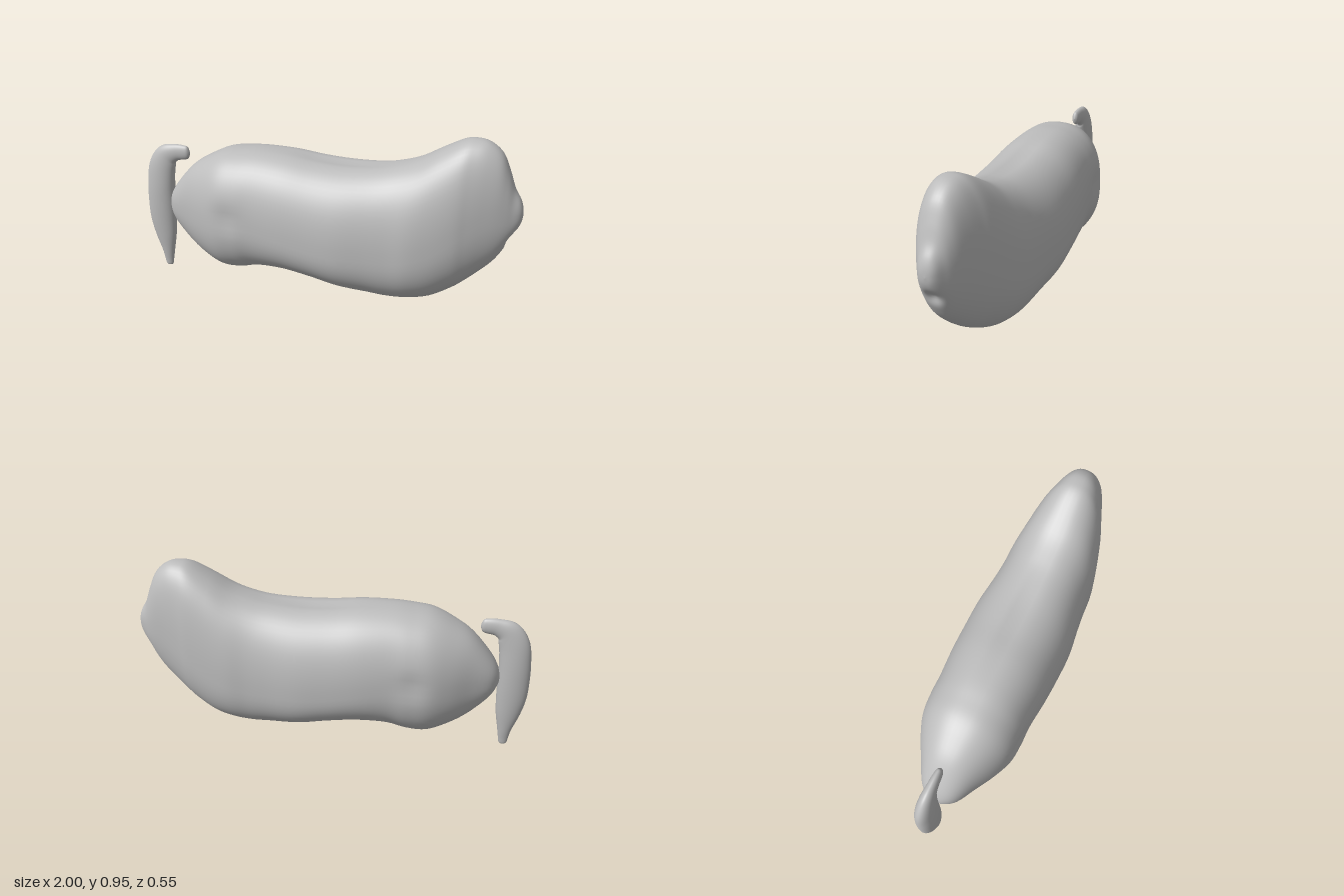
import * as THREE from 'three';

const SIDES = 64;

// Closed skin over rings; ring(i, angle) returns a point, turning about the direction of travel.
function loft(count, ring) {
  const pos = [], index = [];
  for (let i = 0; i < count; i++)
    for (let j = 0; j < SIDES; j++) pos.push(...ring(i, (j / SIDES) * Math.PI * 2));
  for (let i = 0; i < count - 1; i++)
    for (let j = 0; j < SIDES; j++) {
      const k = (j + 1) % SIDES;
      const a = i * SIDES + j, b = a + SIDES, c = (i + 1) * SIDES + k, d = i * SIDES + k;
      index.push(a, d, c, a, c, b);
    }
  const geo = new THREE.BufferGeometry();
  geo.setAttribute('position', new THREE.Float32BufferAttribute(pos, 3));
  geo.setIndex(index);
  geo.computeVertexNormals();
  return geo;
}

// Smoothly interpolates rows of numbers, with steps samples per row.
function smoothRows(rows, steps) {
  const out = [];
  for (let s = 0; s <= (rows.length - 1) * steps; s++) {
    const i = Math.min(Math.floor(s / steps), rows.length - 2), t = s / steps - i;
    const at = (n) => rows[Math.max(0, Math.min(rows.length - 1, n))];
    out.push(rows[0].map((_, c) => {
      const p = at(i - 1)[c], q = at(i)[c], r = at(i + 1)[c], v = at(i + 2)[c];
      const m0 = (r - p) / 2, m1 = (v - q) / 2;
      return ((2 * t - 3) * t * t + 1) * q + ((t - 2) * t + 1) * t * m0
        + (3 - 2 * t) * t * t * r + (t - 1) * t * t * m1;
    }));
  }
  return out;
}

const bump = (d, width) => Math.exp(-((d / width) ** 2));

function bodyGeometry() {
  // x, top, bottom, half width, height of the widest point (0 to 1)
  const rows = smoothRows([
    [-0.85, 0.42, 0.42, 0, 0.5],
    [-0.842, 0.46, 0.375, 0.04, 0.5],
    [-0.8, 0.535, 0.305, 0.095, 0.5],
    [-0.7, 0.65, 0.205, 0.15, 0.5],
    [-0.6, 0.715, 0.148, 0.205, 0.48],
    [-0.5, 0.76, 0.114, 0.245, 0.47],
    [-0.4, 0.775, 0.12, 0.255, 0.46],
    [-0.3, 0.783, 0.147, 0.255, 0.43],
    [-0.15, 0.78, 0.16, 0.268, 0.38],
    [0, 0.765, 0.145, 0.274, 0.36],
    [0.15, 0.76, 0.115, 0.274, 0.37],
    [0.3, 0.77, 0.1, 0.256, 0.38],
    [0.4, 0.79, 0.092, 0.246, 0.38],
    [0.5, 0.825, 0.1, 0.24, 0.38],
    [0.6, 0.885, 0.122, 0.218, 0.38],
    [0.7, 0.94, 0.178, 0.187, 0.4],
    [0.76, 0.951, 0.225, 0.16, 0.42],
    [0.82, 0.94, 0.28, 0.133, 0.45],
    [0.88, 0.893, 0.343, 0.106, 0.48],
    [0.92, 0.81, 0.405, 0.085, 0.48],
    [0.95, 0.73, 0.462, 0.066, 0.48],
    [0.98, 0.68, 0.525, 0.045, 0.5],
    [0.995, 0.64, 0.565, 0.025, 0.5],
    [1.0, 0.6, 0.6, 0, 0.5],
  ], 5);
  const round = (v) => Math.sign(v) * Math.abs(v) ** (2 / 2.3);
  return loft(rows.length, (i, a) => {
    let [x, top, bottom, w, k] = rows[i];
    const mid = bottom + (top - bottom) * k, up = round(Math.cos(a));
    let y = mid + up * (up > 0 ? top - mid : mid - bottom);
    let z = Math.max(0, w) * round(Math.sin(a));
    // shallow groove along the back
    if (up > 0.6) y -= 0.012 * bump(z, 0.035) * bump(x - 0.1, 0.25);
    // dimples on the hips
    z *= 1 - 0.05 * bump(x + 0.42, 0.08) * bump(y - 0.47, 0.06);
    // hollow under the nose
    if (x > 0.85) x -= 0.025 * bump(y - 0.48, 0.035) * bump(z, 0.035);
    return [x, y, z];
  });
}

function tailGeometry() {
  // x, y, radius across, radius in depth
  const rows = smoothRows([
    [-0.91, 0.0, 0, 0],
    [-0.91, 0.008, 0.019, 0.012],
    [-0.91, 0.04, 0.026, 0.017],
    [-0.91, 0.1, 0.037, 0.026],
    [-0.916, 0.2, 0.062, 0.038],
    [-0.922, 0.3, 0.076, 0.046],
    [-0.921, 0.4, 0.079, 0.05],
    [-0.916, 0.5, 0.078, 0.05],
    [-0.902, 0.6, 0.075, 0.044],
    [-0.868, 0.668, 0.064, 0.035],
    [-0.815, 0.695, 0.046, 0.026],
    [-0.765, 0.7, 0.04, 0.021],
    [-0.74, 0.7, 0.031, 0.015],
    [-0.728, 0.7, 0, 0],
  ], 5);
  return loft(rows.length, (i, a) => {
    const [x, y, r, rz] = rows[i];
    const p = rows[Math.max(0, i - 1)], q = rows[Math.min(rows.length - 1, i + 1)];
    const len = Math.hypot(q[0] - p[0], q[1] - p[1]) || 1;
    const c = Math.max(0, r) * Math.cos(a) / len;
    return [x - (q[1] - p[1]) * c, y + (q[0] - p[0]) * c, Math.max(0, rz) * Math.sin(a)];
  });
}

export function createModel() {
  const grey = new THREE.MeshStandardMaterial({ color: 0xbcbcbc });
  grey.name = 'light grey';
  const group = new THREE.Group();
  const parts = { body: bodyGeometry(), tail: tailGeometry() };
  for (const [name, geo] of Object.entries(parts)) {
    const mesh = new THREE.Mesh(geo, grey);
    mesh.name = name;
    group.add(mesh);
  }
  return group;
}
